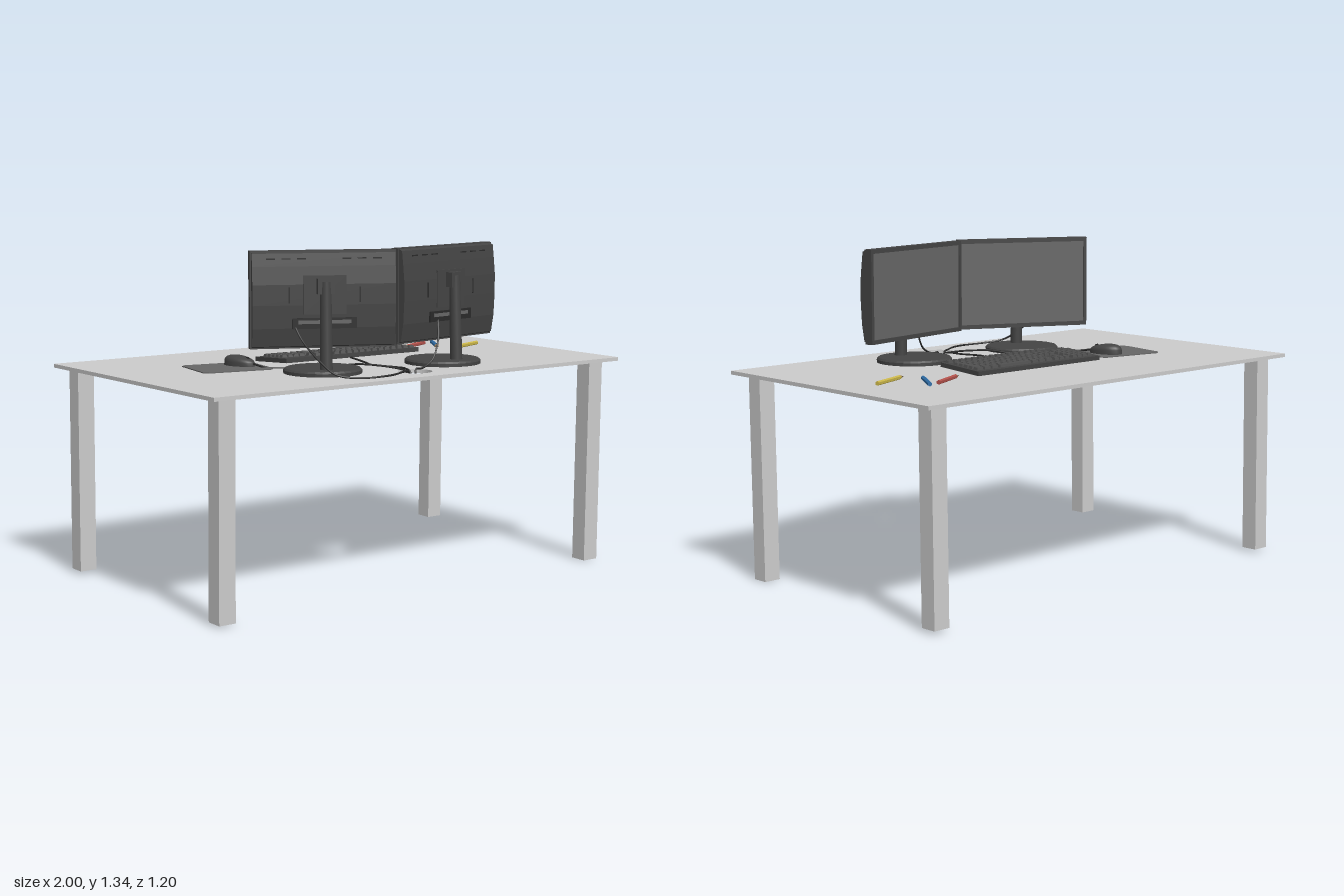
import * as THREE from 'three';
import { mergeGeometries } from 'three/addons/utils/BufferGeometryUtils.js';

const TOP = 0.857; // desk surface height
const mat = (color, extra = {}) => new THREE.MeshStandardMaterial({ color, ...extra });
const GREY = mat(0xcccccc);
const DARK = mat(0x444444);
const BLACK = mat(0x2a2a2a);
const MID = mat(0x666666);

function add(parent, name, geometry, material, x = 0, y = 0, z = 0) {
  const mesh = new THREE.Mesh(geometry, material);
  mesh.name = name;
  mesh.position.set(x, y, z);
  parent.add(mesh);
  return mesh;
}
function group(parent, name, x = 0, y = 0, z = 0, turn = 0) {
  const g = new THREE.Group();
  g.name = name;
  g.position.set(x, y, z);
  g.rotation.y = turn;
  parent.add(g);
  return g;
}
const box = (w, h, d) => new THREE.BoxGeometry(w, h, d);

function rect(w, h, Type = THREE.Shape) {
  const p = new Type();
  p.moveTo(-w / 2, -h / 2);
  p.lineTo(w / 2, -h / 2);
  p.lineTo(w / 2, h / 2);
  p.lineTo(-w / 2, h / 2);
  p.closePath();
  return p;
}
const extrude = (shape, depth) =>
  new THREE.ExtrudeGeometry(shape, { depth, bevelEnabled: false, curveSegments: 20 });

// Table: top with a cable hole, four slightly leaning legs
function table(root) {
  const g = group(root, 'table');
  const shape = rect(2, 1.2);
  const hole = new THREE.Path();
  hole.absarc(0.033, 0.452, 0.068, 0, Math.PI * 2, true);
  shape.holes.push(hole);
  add(g, 'tableTop', extrude(shape, 0.015).rotateX(Math.PI / 2), GREY, 0, TOP, 0);
  const legs = [[0.9, 0.529, 0], [-0.925, 0.529, 0.007], [0.9, -0.51, 0.012], [-0.925, -0.51, 0.012]];
  for (const [x, z, foot] of legs) {
    const h = 0.845 - foot;
    add(g, 'tableLeg', box(0.072, h, 0.071), GREY, x, foot + h / 2, z).rotation.x = 0.012;
  }
}

// Monitor: local -z is the screen side, local +z the back
function monitor(root, x, z, turn) {
  const g = group(root, 'monitor', x, 0, z, turn);
  const W = 0.578, H = 0.38, cy = 1.146;

  // bezel frame and recessed screen
  const frame = rect(W, H);
  frame.holes.push(rect(W - 0.028, H - 0.034, THREE.Path));
  add(g, 'bezel', extrude(frame, 0.035), DARK, 0, cy, -0.022);
  add(g, 'screen', box(W - 0.028, H - 0.034, 0.02), MID, 0, cy, -0.007);

  // bulged back shell, a profile swept along the width
  const profile = new THREE.Shape();
  const points = [[0.01, -0.186], [0.024, -0.18], [0.036, -0.11], [0.041, -0.02], [0.041, 0.06],
    [0.034, 0.13], [0.028, 0.18], [0.01, 0.188]];
  profile.setFromPoints(points.map(([a, b]) => new THREE.Vector2(a, b)));
  const shell = extrude(profile, W - 0.012).translate(0, 0, -(W - 0.012) / 2).rotateY(-Math.PI / 2);
  add(g, 'backShell', shell, DARK, 0, cy, 0);

  // port bay with a pale strip, mounting plate and vents
  add(g, 'mountPlate', box(0.17, 0.15, 0.006), DARK, 0, 1.165, 0.041);
  add(g, 'portBay', box(0.255, 0.042, 0.008), BLACK, 0, 1.055, 0.039);
  add(g, 'portStrip', box(0.21, 0.014, 0.006), MID, 0, 1.06, 0.042);
  for (const s of [-1, 1]) {
    for (let i = 0; i < 3; i++) {
      add(g, 'vent', box(0.035, 0.005, 0.006), BLACK, s * (0.09 + i * 0.06), 1.305, 0.03);
    }
    add(g, 'sideSlot', box(0.006, 0.06, 0.006), BLACK, s * 0.14, 1.165, 0.04);
  }

  // stand
  const disc = [[0, 0], [0.155, 0], [0.155, 0.013], [0.148, 0.02], [0, 0.022]];
  const discGeo = new THREE.LatheGeometry(disc.map(([r, y]) => new THREE.Vector2(r, y)), 32);
  add(g, 'standBase', discGeo, mat(0x444444, { flatShading: true }), 0, TOP, 0);
  const column = add(g, 'standColumn', new THREE.CylinderGeometry(0.022, 0.025, 0.35, 20), DARK, 0, 1.042, 0.067);
  column.rotation.x = -0.035;
  add(g, 'tiltBracket', box(0.066, 0.06, 0.04), DARK, 0, 1.2, 0.056);
}

// Keyboard: the typist sits on the -z side, so the number pad is towards -x
function keyboard(root) {
  const g = group(root, 'keyboard', 0.048, TOP, -0.078, -0.006);
  g.rotation.x = -0.06;
  const base = box(0.675, 0.018, 0.225);
  add(g, 'keyboardBase', base, DARK, 0, 0.0155, 0);
  const keys = [];
  const key = (x, z, w = 0.025, d = 0.025) => {
    const k = box(w, 0.012, d);
    const p = k.attributes.position;
    for (let i = 0; i < p.count; i++) {
      if (p.getY(i) > 0) p.setXYZ(i, p.getX(i) - Math.sign(p.getX(i)) * 0.003, p.getY(i), p.getZ(i) * 0.75);
    }
    k.computeVertexNormals();
    keys.push(k.translate(x, 0.029, z));
  };
  const P = 0.0292, rowZ = (r) => -0.078 + r * P;
  // letter rows, each shifted a little, with wide end keys
  for (let r = 1; r < 5; r++) {
    const shift = (4 - r) * 0.007;
    for (let c = 0; c < 12; c++) key(0.285 - shift - c * P, rowZ(r));
    key(0.313 - shift / 2, rowZ(r), 0.025 + shift);
    key(-0.073 - shift / 2, rowZ(r), 0.035 - shift);
  }
  // space bar row
  key(0.117, rowZ(0), 0.17);
  for (const x of [0.308, 0.268, 0.228, 0.008, -0.03, -0.07]) key(x, rowZ(0), 0.034);
  // function row
  for (let c = 0; c < 13; c++) key(0.313 - c * 0.0325, 0.09, 0.025, 0.02);
  // arrows and navigation block
  for (let c = 0; c < 3; c++) {
    const x = -0.113 - c * P;
    key(x, rowZ(0));
    if (c === 1) key(x, rowZ(1));
    for (const z of [rowZ(3), rowZ(4), 0.09]) key(x, z, 0.025, 0.022);
  }
  // number pad
  for (let c = 0; c < 4; c++) for (let r = 0; r < 5; r++) key(-0.216 - c * 0.0285, rowZ(r));
  add(g, 'keys', mergeGeometries(keys), mat(0x505050));
}

function mouseAndPad(root) {
  // pad with cut corners
  const w = 0.15, d = 0.128, c = 0.018;
  const s = new THREE.Shape([[-w + c, -d], [w - c, -d], [w, -d + c], [w, d - c], [w - c, d], [-w + c, d],
    [-w, d - c], [-w, -d + c]].map(([a, b]) => new THREE.Vector2(a, b)));
  add(group(root, 'mousePad', -0.506, TOP + 0.004, -0.07, -0.18), 'padSheet',
    extrude(s, 0.004).rotateX(Math.PI / 2), MID);

  // mouse: domed body, higher towards the palm (-z)
  const m = group(root, 'mouse', -0.435, TOP + 0.004, -0.088, 0.23);
  const dome = new THREE.SphereGeometry(1, 24, 10, 0, Math.PI * 2, 0, Math.PI / 2);
  const p = dome.attributes.position;
  for (let i = 0; i < p.count; i++) {
    const z = p.getZ(i);
    p.setXYZ(i, p.getX(i) * 0.043 * (1 - 0.08 * z), Math.sqrt(p.getY(i)) * 0.04 * (1 - 0.2 * z), z * 0.075);
  }
  dome.computeVertexNormals();
  add(m, 'mouseBody', dome, DARK);
  add(m, 'mouseWheel', new THREE.CylinderGeometry(0.008, 0.008, 0.008, 12).rotateZ(Math.PI / 2), BLACK, 0, 0.029, 0.043);
}

// Pencil lying on the desk from its blunt end to its tip, as [x, z]
function pencil(root, color, end, tip) {
  const dx = tip[0] - end[0], dz = tip[1] - end[1], len = Math.hypot(dx, dz), R = 0.009, cone = 0.03;
  const g = group(root, 'pencil', end[0], TOP + R * 0.9, end[1], Math.atan2(dx, dz));
  const part = (name, r0, r1, from, to, material) =>
    add(g, name, new THREE.CylinderGeometry(r1, r0, to - from, 6).rotateX(Math.PI / 2), material, 0, 0, (from + to) / 2);
  part('pencilBody', R, R, 0, len - cone, mat(color, { flatShading: true }));
  part('pencilWood', R, R * 0.35, len - cone, len - 0.01, mat(0xb09068));
  part('pencilLead', R * 0.35, 0.0005, len - 0.01, len, BLACK);
}

function cable(root, name, points) {
  const curve = new THREE.CatmullRomCurve3(points.map((p) => new THREE.Vector3(...p)), false, 'centripetal');
  add(root, name, new THREE.TubeGeometry(curve, 60, 0.004, 6), BLACK);
}

export function createModel() {
  const root = new THREE.Group();
  root.name = 'computerDesk';
  table(root);
  monitor(root, 0.295, 0.303, 0.177);
  monitor(root, -0.281, 0.267, -0.436);
  keyboard(root);
  mouseAndPad(root);
  pencil(root, 0xb0504a, [0.64, -0.243], [0.463, -0.158]);
  pencil(root, 0x2f6ea8, [0.693, -0.254], [0.59, -0.088]);
  pencil(root, 0xc8b448, [0.826, -0.104], [0.634, -0.029]);

  // cables running over the desk and down through the hole
  const y = TOP + 0.004;
  cable(root, 'mouseCable', [[-0.418, y + 0.012, -0.02], [-0.39, y, 0.04], [-0.24, y, 0.115], [-0.14, y, 0.16],
    [-0.08, y + 0.012, 0.25], [0.01, y, 0.385], [0.022, 0.85, 0.415], [0.022, 0.815, 0.42]]);
  cable(root, 'keyboardCable', [[0.032, y + 0.01, 0.03], [0.03, y, 0.125], [0, y, 0.215], [0.03, y, 0.32],
    [0.036, y, 0.385], [0.038, 0.85, 0.415], [0.038, 0.812, 0.42]]);
  cable(root, 'leftoverMonitorCable', [[-0.402, 1.05, 0.245], [-0.4, 0.99, 0.3], [-0.39, 0.92, 0.4], [-0.365, 0.875, 0.47],
    [-0.28, y, 0.516], [-0.135, y, 0.516], [-0.03, y, 0.462], [0.01, 0.855, 0.44], [0.03, 0.815, 0.425]]);
  cable(root, 'monitorCable', [[0.23, 1.055, 0.35], [0.205, 0.97, 0.385], [0.16, 0.89, 0.405], [0.1, y, 0.415],
    [0.06, y, 0.425], [0.052, 0.845, 0.43], [0.052, 0.82, 0.425]]);
  return root;
}
